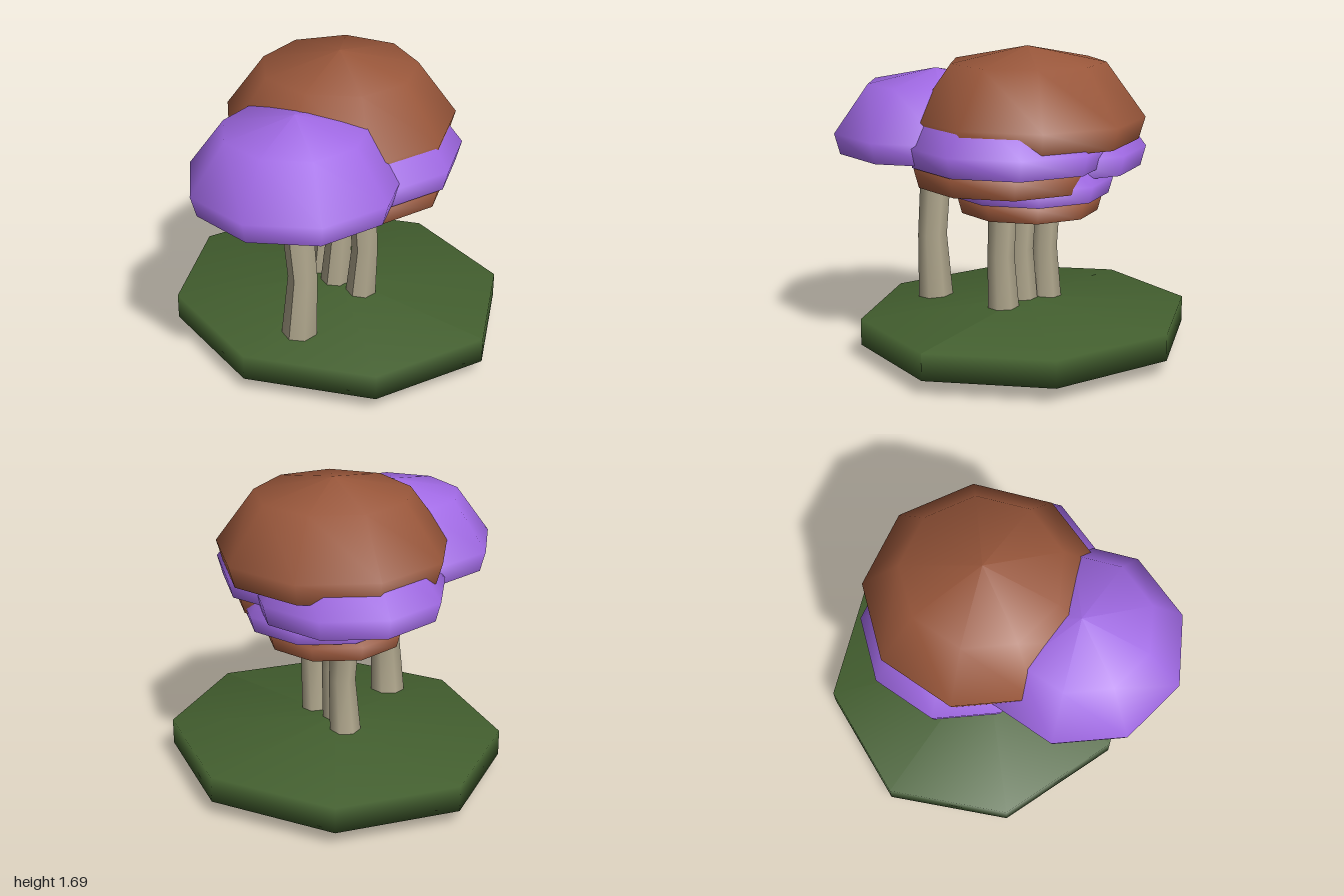
import * as THREE from 'three';

const material = (name, color) => {
  const m = new THREE.MeshStandardMaterial({ color });
  m.name = name;
  return m;
};

export function createModel() {
  const brown = material('brown cap', 0x98563a);
  const purple = material('purple cap', 0xa069e4);
  const green = material('moss green', 0x435f2f);
  const cream = material('pale stem', 0xb1a88e);

  const model = new THREE.Group();
  model.name = 'mushroomCluster';

  const add = (parent, name, geometry, mat) => {
    const mesh = new THREE.Mesh(geometry, mat);
    mesh.name = name;
    parent.add(mesh);
    return mesh;
  };

  // Lathe with a corner on +x, from [radius, y] pairs running bottom to top
  const lathe = (points, sides) =>
    new THREE.LatheGeometry(points.map(([r, y]) => new THREE.Vector2(r, y)), sides, Math.PI / 2);

  // Ground: octagonal mound, shallow cone above and below
  const ground = add(model, 'ground', lathe([[0, 0], [1, 0.08], [1, 0.225], [0, 0.29]], 8), green);
  ground.geometry.scale(0.965, 1, 0.885);
  ground.geometry.computeVertexNormals();
  ground.position.z = -0.115;

  // Cap: nine-sided dome with a tucked rim and a flat underside
  const cap = (name, x, y, z, r, rim, height, mat, underside) => {
    const group = new THREE.Group();
    group.name = name;
    group.position.set(x, y, z);
    const profile = [[r * 0.945, 0], [r, rim], [r * 0.665, height * 0.83], [0, height]];
    add(group, 'dome', lathe(profile, 9), mat);
    const disc = add(group, 'underside', new THREE.CircleGeometry(r * 0.945, 9), underside);
    disc.rotation.x = Math.PI / 2;
    model.add(group);
  };
  cap('topCap', 0, 1.19, -0.12, 0.64, 0.12, 0.5, brown, cream);
  cap('frontCap', 0.1, 1.085, 0.42, 0.575, 0.115, 0.46, purple, purple);
  cap('leftPurpleCap', 0.15, 1.07, -0.1, 0.56, 0.11, 0.44, purple, cream);
  cap('rightPurpleCap', -0.17, 1.02, -0.16, 0.53, 0.11, 0.42, purple, cream);
  cap('middleBrownCap', 0.16, 0.96, -0.08, 0.5, 0.1, 0.4, brown, cream);
  cap('lowerPurpleCap', 0.04, 0.9, -0.155, 0.46, 0.09, 0.36, purple, purple);
  cap('bottomCap', -0.01, 0.79, -0.125, 0.4, 0.08, 0.31, brown, brown);

  // Stem: three rings given as [x, y, z, radius], bent in the middle
  const stem = (name, rings) => {
    const geometry = new THREE.CylinderGeometry(1, 1, 2, 7, 2);
    const p = geometry.attributes.position;
    for (let i = 0; i < p.count; i++) {
      const [x, y, z, r] = rings[Math.round(p.getY(i)) + 1];
      p.setXYZ(i, x + p.getX(i) * r, y, z + p.getZ(i) * r);
    }
    geometry.computeVertexNormals();
    add(model, name, geometry, cream);
  };
  stem('frontStem', [[0.12, 0.24, 0.42, 0.1], [0.147, 0.61, 0.42, 0.083], [0.09, 1.15, 0.42, 0.09]]);
  stem('rightStem', [[-0.135, 0.26, -0.16, 0.088], [-0.11, 0.57, -0.16, 0.075], [-0.135, 0.86, -0.16, 0.08]]);
  stem('middleStem', [[0.0, 0.26, -0.09, 0.088], [0.025, 0.57, -0.09, 0.075], [0.0, 0.86, -0.09, 0.08]]);
  stem('leftStem', [[0.18, 0.26, -0.085, 0.088], [0.205, 0.57, -0.085, 0.075], [0.185, 0.86, -0.085, 0.08]]);

  return model;
}
